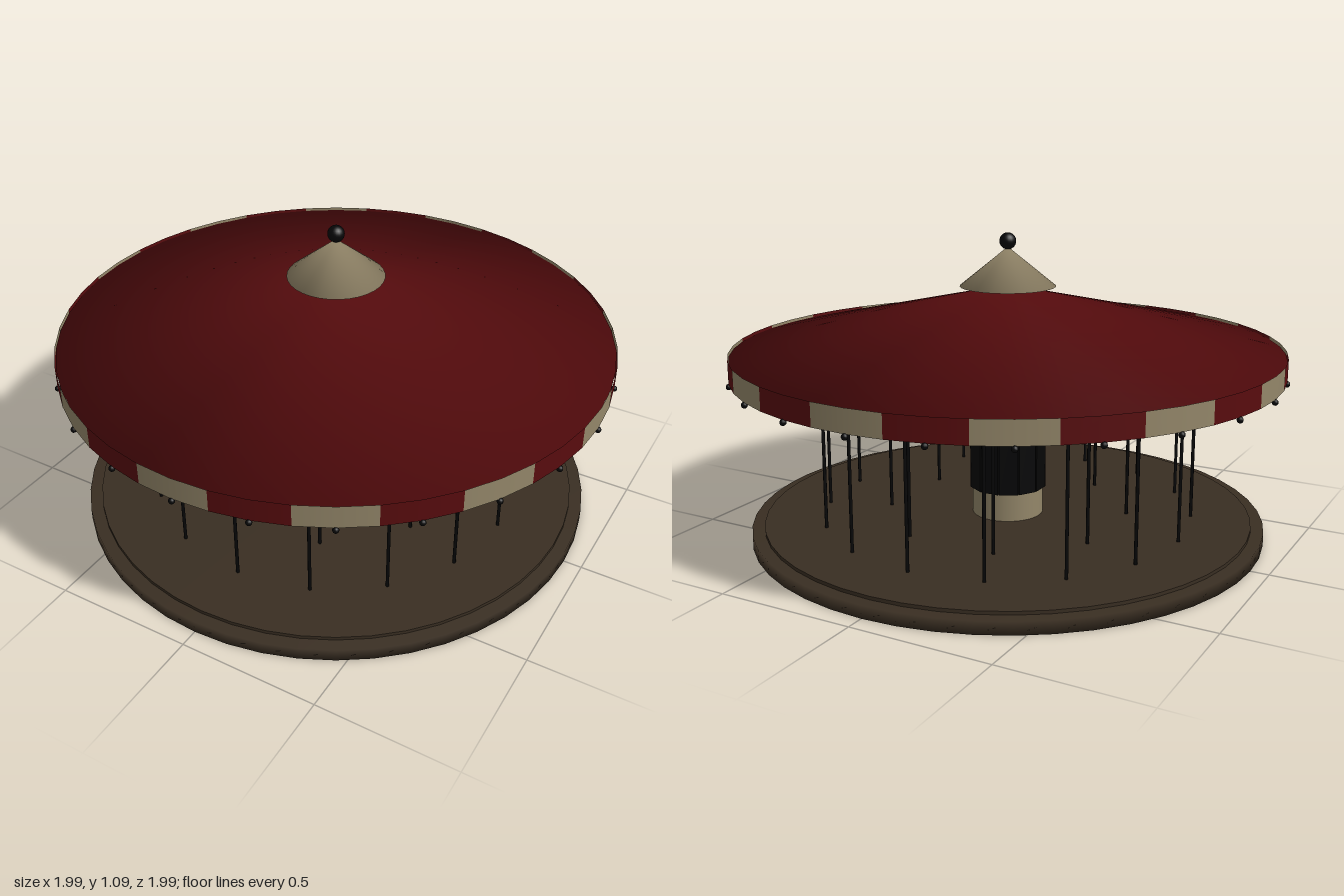
import * as THREE from 'three';
import { mergeVertices } from 'three/addons/utils/BufferGeometryUtils.js';

const mat = (name, color) => new THREE.MeshStandardMaterial({ name, color });

// Weld a closed solid so its shading runs softly over the rim
function soft(geometry) {
  geometry.deleteAttribute('normal');
  geometry.deleteAttribute('uv');
  const welded = mergeVertices(geometry, 1e-4);
  welded.computeVertexNormals();
  return welded;
}

export function createModel() {
  const model = new THREE.Group();
  model.name = 'carousel';
  const red = mat('canopy red', 0x580c0e);
  const cream = mat('aged cream', 0x938669);
  const brown = mat('dark wood', 0x392e22);
  const dark = mat('black iron', 0x060607);
  red.side = cream.side = THREE.DoubleSide;

  const add = (name, geometry, material, x, y, z, turn = 0, parent = model) => {
    const mesh = new THREE.Mesh(geometry, material);
    mesh.name = name;
    mesh.position.set(x, y, z);
    mesh.rotation.y = turn;
    parent.add(mesh);
  };

  // Place count copies on a circle, facing outward
  const ring = (name, geometry, pick, count, radius, y, offset = 0) => {
    const group = new THREE.Group();
    group.name = name + 's';
    for (let i = 0; i < count; i++) {
      const a = ((i + offset) / count) * Math.PI * 2;
      add(name, geometry, pick(i), Math.sin(a) * radius, y, Math.cos(a) * radius, a, group);
    }
    model.add(group);
  };

  // Stepped platform
  add('platform', soft(new THREE.CylinderGeometry(0.935, 0.935, 0.045, 48)), brown, 0, 0.0225, 0);
  add('platformDeck', new THREE.CylinderGeometry(0.89, 0.89, 0.016, 48), brown, 0, 0.049, 0);

  // Central column wrapped in dark panels
  add('column', new THREE.CylinderGeometry(0.13, 0.13, 0.61, 32), cream, 0, 0.36, 0);
  ring('drumPanel', new THREE.BoxGeometry(0.068, 0.385, 0.012), () => dark, 12, 0.132, 0.352);

  // Two circles of poles
  const pole = new THREE.CylinderGeometry(0.006, 0.006, 0.61, 8);
  ring('outerPole', pole, () => dark, 16, 0.675, 0.36);
  ring('innerPole', pole, () => dark, 8, 0.44, 0.36, 0.5);

  // Canopy over a cream lining
  add('lining', soft(new THREE.ConeGeometry(0.975, 0.23, 48)), cream, 0, 0.775, 0);
  add('roof', soft(new THREE.ConeGeometry(0.985, 0.23, 48)), red, 0, 0.79, 0);

  // Striped valance, each panel bent along the rim, and beads below it
  const step = Math.PI / 12;
  const panel = new THREE.CylinderGeometry(0.988, 0.988, 0.08, 2, 1, true, -step / 2, step);
  ring('valancePanel', panel, (i) => (i % 2 ? red : cream), 24, 0, 0.645);
  ring('bead', new THREE.SphereGeometry(0.011, 10, 8), () => dark, 24, 0.987, 0.597);

  // Peak cap and finial
  add('peakCap', soft(new THREE.ConeGeometry(0.172, 0.14, 32)), cream, 0, 0.97, 0);
  add('finial', new THREE.SphereGeometry(0.03, 20, 14), dark, 0, 1.06, 0);

  return model;
}
